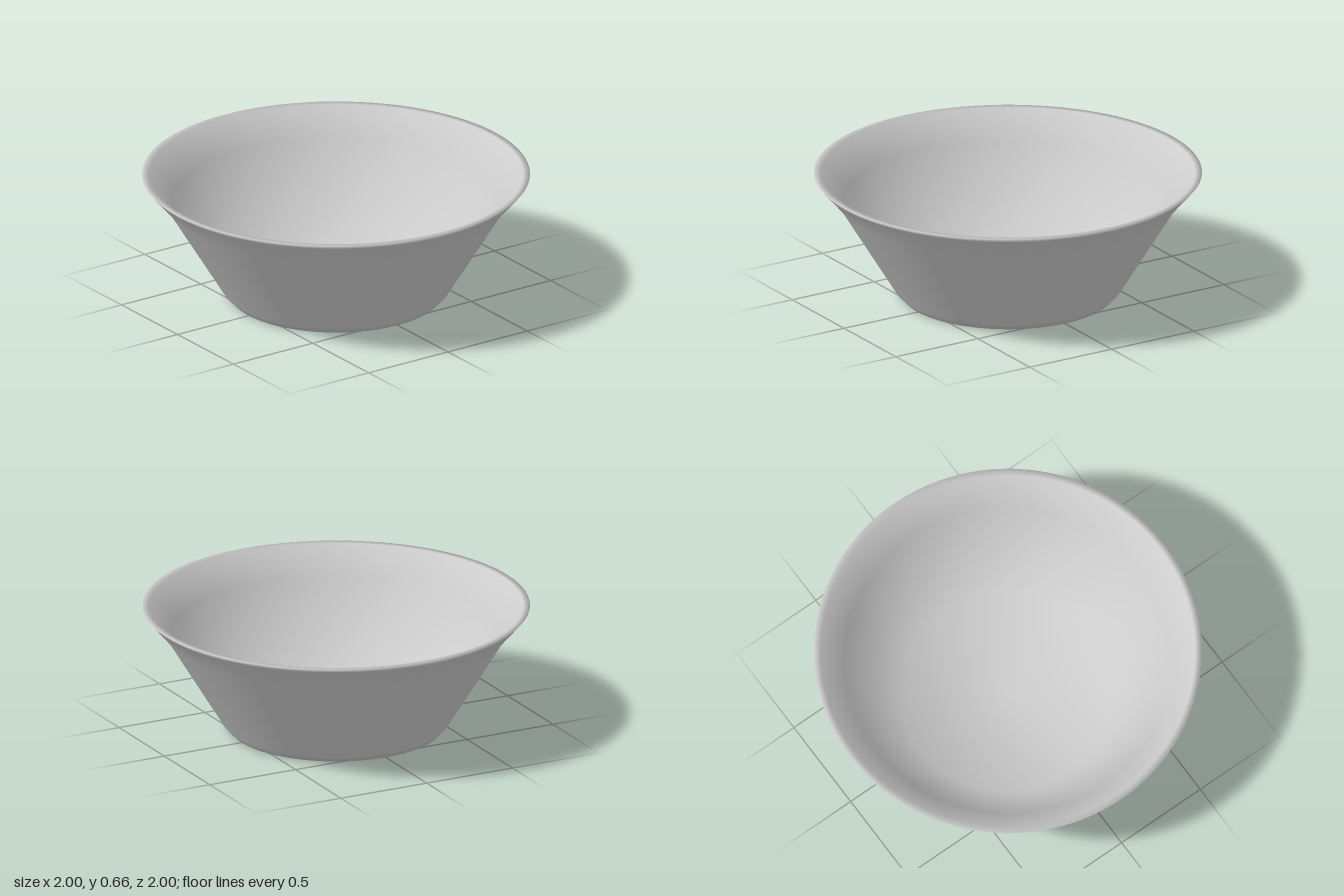
import * as THREE from 'three';

export function createModel() {
  const model = new THREE.Group();
  model.name = 'bowl';
  const ceramic = new THREE.MeshStandardMaterial({ color: 0xcccccc });
  ceramic.name = 'light grey ceramic';

  // one spun shell of even thickness with smooth normals
  const profile = [
    [0, 0], [0.55, 0], [0.588, 0.04],                // base and its bevel
    [0.88, 0.52], [0.98, 0.637],                     // outer wall and flared lip
    [1, 0.66], [0.965, 0.658],                       // rim
    [0.84, 0.52], [0.55, 0.045], [0, 0.045],         // inner lip, inner wall, floor
  ].map(([r, y]) => new THREE.Vector2(r, y));

  const shell = new THREE.Mesh(new THREE.LatheGeometry(profile, 96), ceramic);
  shell.name = 'bowlShell';
  model.add(shell);

  return model;
}
